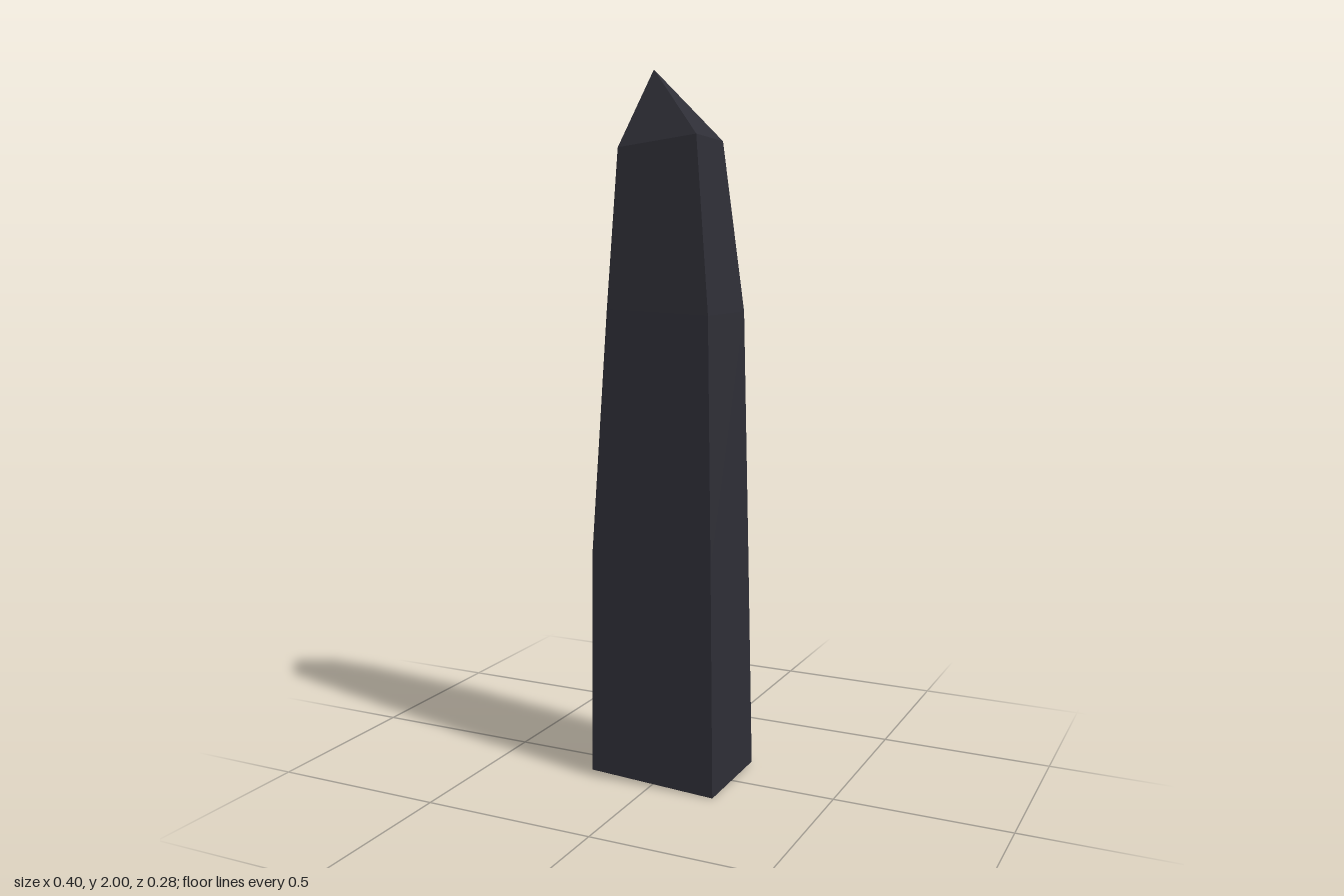
import * as THREE from 'three';

// Corner order: front-left (narrow chamfer, two points), front-right, back-right, back-left
const rings = [
  [[-0.193, 0.02, 0.128], [-0.185, 0.018, 0.14], [0.194, 0, 0.14], [0.197, 0.005, -0.144], [-0.199, 0.015, -0.127]],
  [[-0.19, 0.65, 0.122], [-0.184, 0.65, 0.13], [0.18, 0.65, 0.127], [0.184, 0.65, -0.135], [-0.186, 0.65, -0.117]],
  [[-0.148, 1.35, 0.103], [-0.142, 1.35, 0.109], [0.163, 1.34, 0.113], [0.17, 1.34, -0.123], [-0.17, 1.36, -0.107]],
  [[-0.119, 1.79, 0.088], [-0.115, 1.79, 0.094], [0.115, 1.82, 0.086], [0.117, 1.81, -0.089], [-0.108, 1.8, -0.09]],
];
const apex = [-0.043, 2, 0.018];

function facetedMesh(name, triangles, material) {
  const geometry = new THREE.BufferGeometry();
  geometry.setAttribute('position', new THREE.Float32BufferAttribute(triangles.flat(2), 3));
  geometry.computeVertexNormals();
  const mesh = new THREE.Mesh(geometry, material);
  mesh.name = name;
  return mesh;
}

export function createModel() {
  const group = new THREE.Group();
  group.name = 'obelisk';
  const stone = new THREE.MeshStandardMaterial({ color: 0x2e2e36 });
  stone.name = 'dark stone';
  const sides = rings[0].length;
  const shaft = [], cap = [], base = [];

  for (let i = 0; i < sides; i++) {
    const j = (i + 1) % sides;
    // Tapering shaft walls
    for (let k = 0; k < rings.length - 1; k++) {
      const low = rings[k], high = rings[k + 1];
      shaft.push([low[i], low[j], high[j]], [low[i], high[j], high[i]]);
    }
    // Pointed cap with an off-centre tip
    const top = rings[rings.length - 1];
    cap.push([top[i], top[j], apex]);
    // Underside
    if (i > 0 && i < sides - 1) base.push([rings[0][0], rings[0][i + 1], rings[0][i]]);
  }

  group.add(
    facetedMesh('shaft', shaft, stone),
    facetedMesh('pointedCap', cap, stone),
    facetedMesh('underside', base, stone),
  );
  return group;
}
